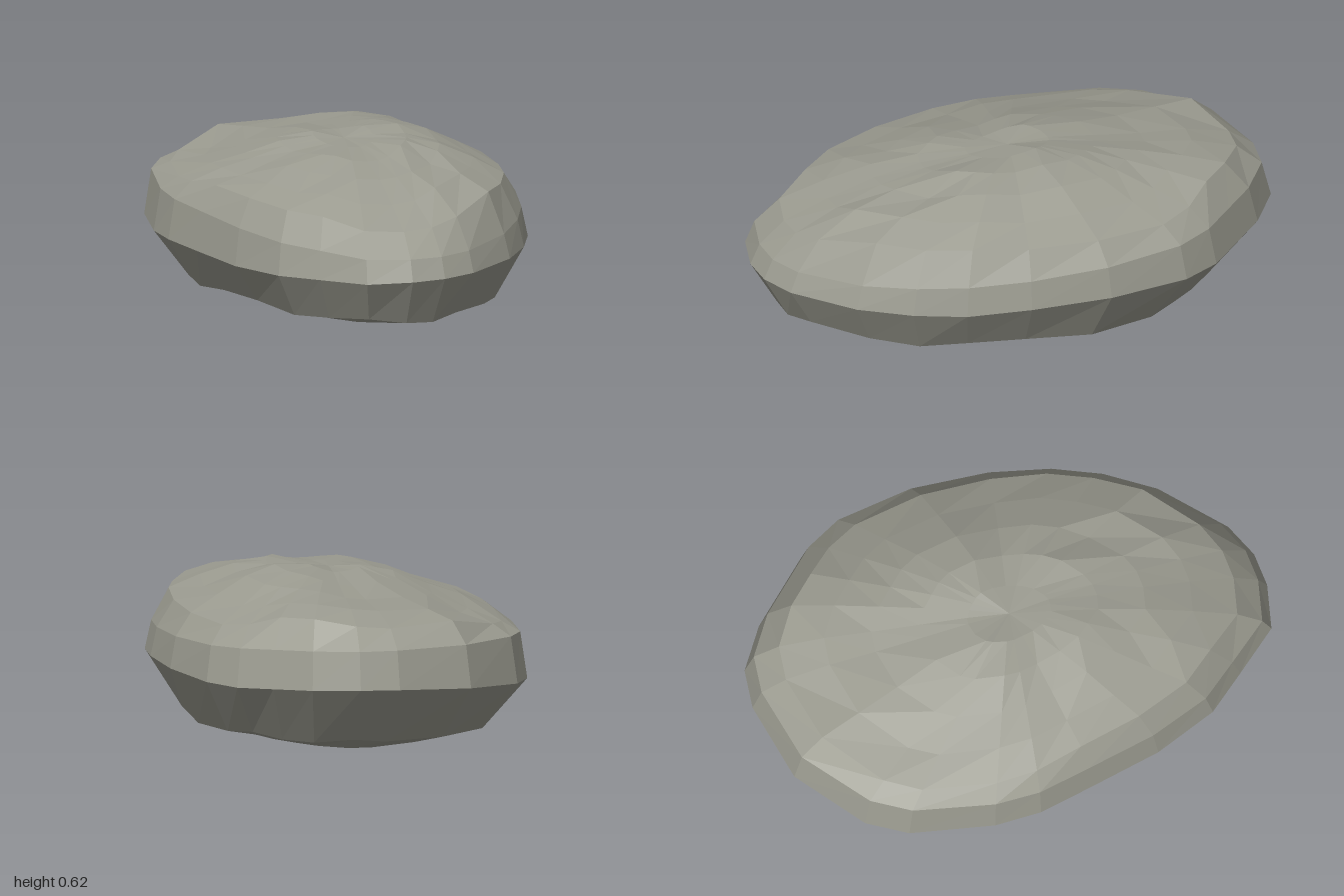
import * as THREE from 'three';

// Piecewise linear lookup through [position, value] pairs
function sample(table, t) {
  if (t <= table[0][0]) return table[0][1];
  for (let i = 1; i < table.length; i++) {
    const [a, va] = table[i - 1], [b, vb] = table[i];
    if (t <= b) return va + (vb - va) * (t - a) / (b - a);
  }
  return table[table.length - 1][1];
}

// Widest outline of the stone, as [x, z], from the back round by the left side
const outline = [
  [0, -1], [0.15, -0.99], [0.31, -0.89], [0.43, -0.77], [0.54, -0.66], [0.62, -0.52],
  [0.675, -0.21], [0.665, 0.1], [0.62, 0.34], [0.55, 0.53], [0.44, 0.72], [0.24, 0.92],
  [0.11, 0.985], [-0.02, 1], [-0.19, 0.97], [-0.33, 0.81], [-0.45, 0.67], [-0.55, 0.43],
  [-0.62, 0.15], [-0.67, -0.06], [-0.675, -0.24], [-0.62, -0.56], [-0.54, -0.71], [-0.3, -0.92],
];

// Crest height from back to front, and how it falls off to each side
const crest = [
  [-0.96, 0.45], [-0.85, 0.525], [-0.67, 0.565], [-0.5, 0.578], [-0.3, 0.605], [-0.08, 0.632],
  [0.05, 0.61], [0.24, 0.615], [0.45, 0.565], [0.6, 0.54], [0.75, 0.455], [0.88, 0.4], [0.97, 0.31],
];
const across = [
  [-0.6, 0.7], [-0.53, 0.77], [-0.4, 0.82], [-0.25, 0.91], [-0.1, 0.965], [0.02, 0.96],
  [0.17, 1], [0.31, 0.97], [0.58, 0.78], [0.65, 0.65],
];
const waist = [[-1, 0.29], [-0.9, 0.275], [-0.65, 0.25], [0, 0.25], [0.35, 0.23], [1, 0.23]];
const rim = [[-0.96, 0.435], [-0.6, 0.41], [0, 0.38], [0.5, 0.35], [0.97, 0.31]];

function topHeight(x, z) {
  const hollow = 0.025 * Math.exp(-((x - 0.22) ** 2 + (z - 0.36) ** 2) / 0.015);
  const end = Math.min(1, Math.max(0, (Math.abs(z) - 0.6) / 0.25)); // ends are flatter across
  return sample(crest, z) * THREE.MathUtils.lerp(sample(across, x), 1, end * 0.6) - hollow;
}
function bottomHeight(x, z) {
  const groove = 0.018 * Math.exp(-((z - 0.04) ** 2) / 0.006);
  return 0.15 * x * x + 0.03 * Math.max(0, Math.abs(z) - 0.5) + groove;
}

// Rings from the underside up over the rim to the crown
const shrink = (s, height) => outline.map(([x, z]) => [x * s, height(x * s, z * s), z * s]);
function makeRings() {
  return [
    shrink(0.3, bottomHeight),
    shrink(0.6, bottomHeight),
    outline.map(([x, z], i) => [x * 0.82, 0.06 + 0.012 * Math.sin(i * 1.9), z * (z > 0 ? 0.9 : 0.8)]),
    outline.map(([x, z]) => [x, sample(waist, z) + 0.03 * x, z]),
    shrink(0.965, (x, z) => sample(rim, z)),
    shrink(0.87, topHeight),
    shrink(0.7, topHeight),
    shrink(0.52, topHeight),
    shrink(0.34, topHeight),
    shrink(0.16, topHeight),
  ];
}

function stoneGeometry() {
  const rings = makeRings(), n = outline.length, positions = [], index = [];
  rings.forEach(ring => ring.forEach(p => positions.push(...p)));
  const bottom = rings.length * n, top = bottom + 1;
  positions.push(0, bottomHeight(0, 0), 0, 0, topHeight(0, 0), 0);
  for (let i = 0; i < n; i++) {
    const j = (i + 1) % n, last = (rings.length - 1) * n;
    for (let r = 0; r < rings.length - 1; r++) {
      const a = r * n + i, b = r * n + j, c = a + n, d = b + n;
      index.push(a, c, b, b, c, d);
    }
    index.push(bottom, i, j, top, last + j, last + i);
  }
  const geometry = new THREE.BufferGeometry();
  geometry.setAttribute('position', new THREE.Float32BufferAttribute(positions, 3));
  geometry.setIndex(index);
  const flat = geometry.toNonIndexed();
  flat.computeVertexNormals();
  return flat;
}

export function createModel() {
  const group = new THREE.Group();
  group.name = 'rock';
  const stone = new THREE.MeshStandardMaterial({ color: 0x9b9b90, flatShading: true });
  stone.name = 'warm grey stone';
  const boulder = new THREE.Mesh(stoneGeometry(), stone);
  boulder.name = 'boulder';
  group.add(boulder);
  return group;
}
